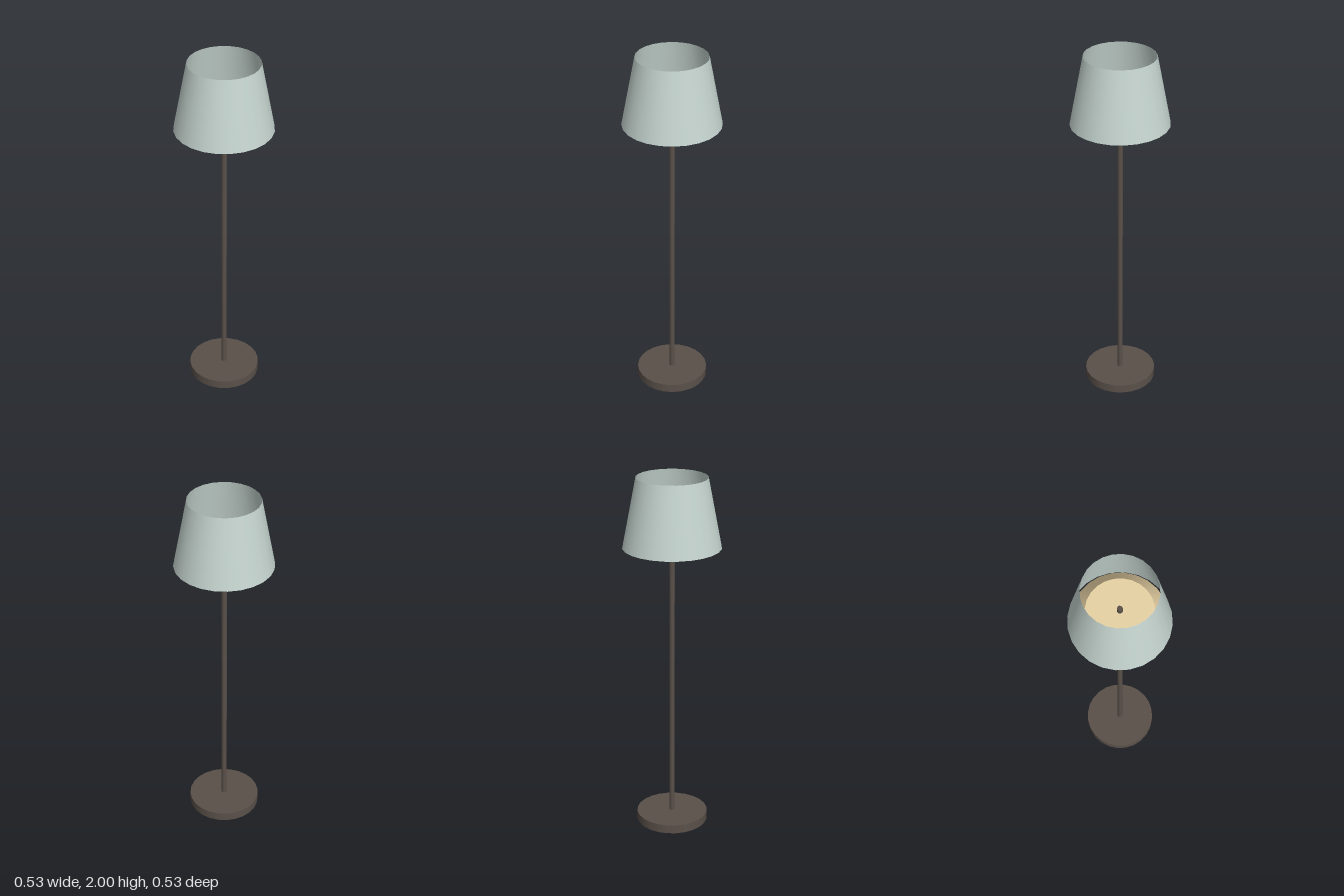
import * as THREE from 'three';

export function createModel() {
  const lamp = new THREE.Group();
  lamp.name = 'floorLamp';

  const metal = new THREE.MeshStandardMaterial({ color: 0x5a5049 });
  const fabric = new THREE.MeshStandardMaterial({ color: 0xc6d5d0, side: THREE.DoubleSide });
  const glow = new THREE.MeshStandardMaterial({ color: 0xe8d2a4 });

  // Upright tapered cylinder between two heights
  function column(name, rTop, rBottom, y0, y1, sides, material, open = false) {
    const geometry = new THREE.CylinderGeometry(rTop, rBottom, y1 - y0, sides, 1, open);
    const mesh = new THREE.Mesh(geometry, material);
    mesh.position.y = (y0 + y1) / 2;
    mesh.name = name;
    lamp.add(mesh);
  }

  column('base', 0.2, 0.2, 0, 0.05, 24, metal);
  column('pole', 0.015, 0.015, 0.05, 1.78, 10, metal);
  // Closed diffuser hidden inside the open shade
  column('diffuser', 0.175, 0.245, 1.665, 1.75, 24, glow);
  column('shade', 0.193, 0.267, 1.62, 2, 24, fabric, true);

  return lamp;
}
